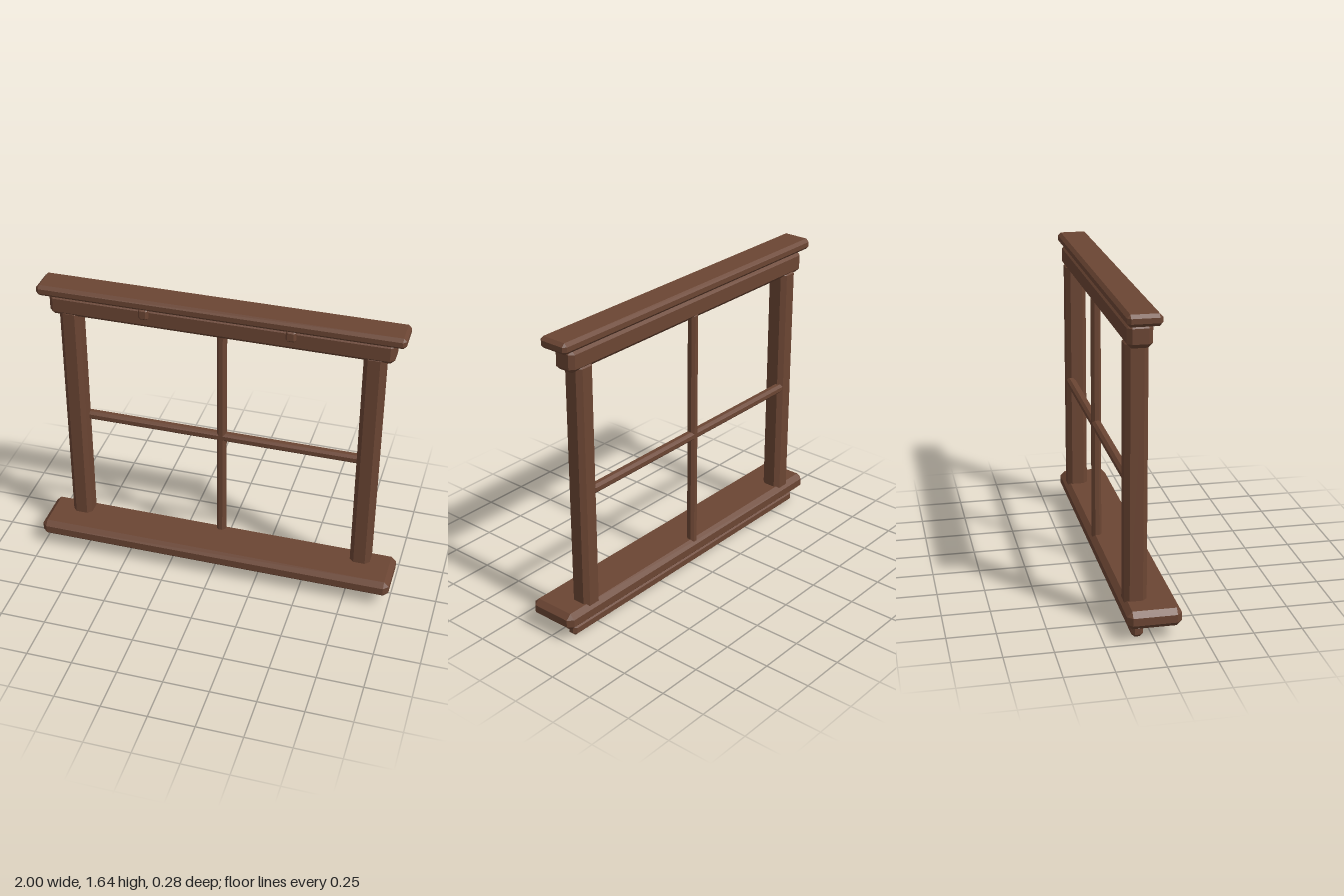
import * as THREE from 'three';
import { ConvexGeometry } from 'three/addons/geometries/ConvexGeometry.js';

const wood = new THREE.MeshStandardMaterial({ color: 0x6b4533 });
wood.name = 'brown wood';

// Box between two corners with every edge chamfered by c
function beam(name, [x0, x1], [y0, y1], [z0, z1], c) {
  const half = [(x1 - x0) / 2, (y1 - y0) / 2, (z1 - z0) / 2];
  const points = [];
  for (let axis = 0; axis < 3; axis++)
    for (const sx of [-1, 1]) for (const sy of [-1, 1]) for (const sz of [-1, 1]) {
      // one coordinate reaches the full face, the other two are inset
      const p = [sx, sy, sz].map((s, i) => s * (half[i] - (i === axis ? 0 : c)));
      points.push(new THREE.Vector3(...p));
    }
  const mesh = new THREE.Mesh(new ConvexGeometry(points), wood);
  mesh.name = name;
  mesh.position.set((x0 + x1) / 2, (y0 + y1) / 2, (z0 + z1) / 2);
  return mesh;
}

export function createModel() {
  const model = new THREE.Group();
  model.name = 'windowFrame';

  // Sill and the apron strip below it
  model.add(beam('sill', [-1, 1], [0.07, 0.165], [-0.138, 0.138], 0.027));
  model.add(beam('apron', [-0.935, 0.935], [0, 0.066], [-0.105, -0.045], 0.017));

  // Head beam and the cap on top
  model.add(beam('header', [-0.912, 0.912], [1.467, 1.588], [-0.125, 0], 0.023));
  model.add(beam('cap', [-0.968, 0.968], [1.585, 1.645], [-0.138, 0.032], 0.017));

  // Side posts and small pegs, mirrored
  for (const [side, s] of [['left', 1], ['right', -1]]) {
    const span = (a, b) => (s > 0 ? [a, b] : [-b, -a]);
    model.add(beam(side + 'Post', span(0.753, 0.865), [0.13, 1.5], [-0.125, -0.01], 0.024));
    model.add(beam(side + 'Peg', span(0.362, 0.414), [1.53, 1.592], [-0.005, 0.026], 0.01));
  }

  // Glazing bars, set towards the back
  model.add(beam('verticalBar', [-0.026, 0.024], [0.13, 1.5], [-0.126, -0.076], 0.014));
  model.add(beam('horizontalBar', [-0.785, 0.785], [0.775, 0.825], [-0.126, -0.076], 0.014));

  return model;
}
